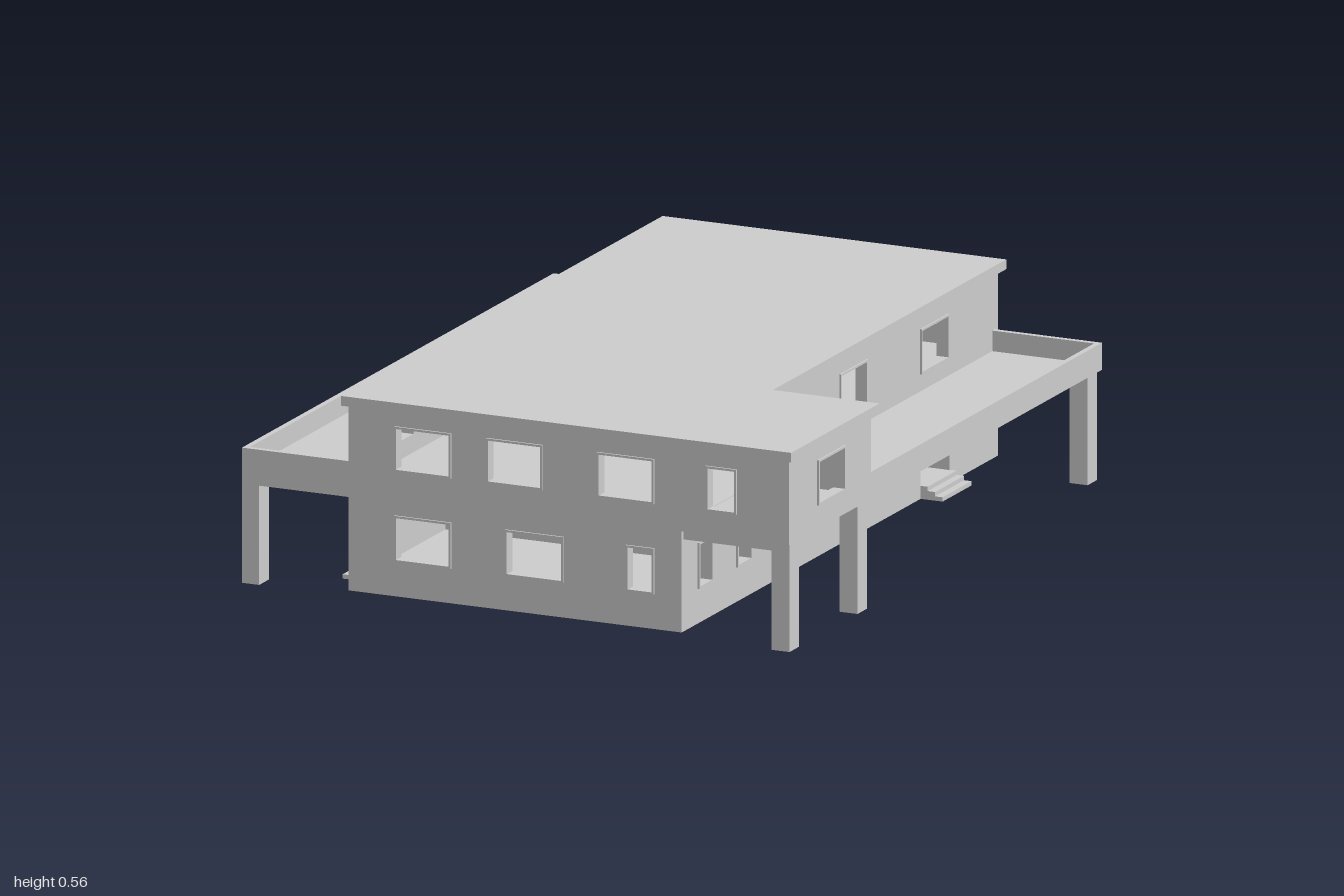
import * as THREE from 'three';

const T = 0.025; // wall thickness
const FRONT = 0.98, BACK = -0.985, LEFT = 0.485, RIGHT = -0.5;

export function createModel() {
  const root = new THREE.Group();
  root.name = 'house';
  const grey = new THREE.MeshStandardMaterial({ color: 0xcccccc });
  grey.name = 'plain grey';

  const add = (geometry, name) => {
    const mesh = new THREE.Mesh(geometry, grey);
    mesh.name = name;
    root.add(mesh);
    return mesh;
  };

  // Box given by its limits on each axis
  const box = (name, x0, x1, y0, y1, z0, z1) => {
    const mesh = add(new THREE.BoxGeometry(x1 - x0, y1 - y0, z1 - z0), name);
    mesh.position.set((x0 + x1) / 2, (y0 + y1) / 2, (z0 + z1) / 2);
    return mesh;
  };

  const rect = (path, u0, u1, y0, y1) =>
    path.moveTo(u0, y0).lineTo(u1, y0).lineTo(u1, y1).lineTo(u0, y1).closePath();

  // Upright panel with holes, along x or along z, filling at..at+depth
  const panel = (name, axis, at, depth, outline, holes) => {
    const shape = new THREE.Shape();
    rect(shape, ...outline);
    for (const h of holes) {
      const hole = new THREE.Path();
      rect(hole, ...h);
      shape.holes.push(hole);
    }
    const mesh = add(new THREE.ExtrudeGeometry(shape, { depth, bevelEnabled: false }), name);
    if (axis === 'x') mesh.position.z = at;
    else {
      mesh.rotation.y = -Math.PI / 2;
      mesh.position.x = at + depth;
    }
  };

  // Wall with framed windows and plain openings
  const wall = (name, axis, at, outline, windows, openings = []) => {
    const f = 0.006;
    const outer = windows.map(([a, b, c, d]) => [a - f, b + f, c - f, d + f]);
    panel(name, axis, at, T, outline, [...outer, ...openings]);
    windows.forEach((w, k) =>
      panel('windowFrame', axis, at - 0.005, T + 0.01, outer[k], [w]));
  };
  const up = (a, b) => [a, b, 0.372, 0.485];
  const low = (a, b) => [a, b, 0.122, 0.238];

  // Main walls
  wall('frontWall', 'x', FRONT - T, [RIGHT, LEFT, 0.02, 0.535], [
    up(-0.358, -0.202), up(-0.085, 0.068), up(0.242, 0.398),
    low(-0.358, -0.202), low(-0.03, 0.13), low(0.327, 0.398)]);
  wall('backWall', 'x', BACK, [RIGHT, LEFT, 0.02, 0.535], [
    up(0.24, 0.4), up(-0.08, 0.08), up(-0.4, -0.32), low(-0.32, -0.24)]);
  wall('leftWall', 'z', LEFT - T, [BACK + T, FRONT - T, 0.02, 0.535], [
    up(0.322, 0.398), up(-0.163, -0.007), up(-0.668, -0.508),
    low(0.8, 0.875), low(0.557, 0.635), low(0.322, 0.395), low(-0.163, -0.007)],
    [[0.5, 0.94, 0.32, 0.53], [-0.685, -0.505, 0.055, 0.3]]);
  wall('rightWall', 'z', RIGHT, [BACK + T, FRONT - T, 0.02, 0.535], [
    up(-0.89, -0.73), up(-0.56, -0.4), up(-0.07, 0.08), up(0.64, 0.8),
    low(-0.89, -0.73), low(-0.56, -0.4), low(-0.04, 0.12),
    [0.24, 0.32, 0.32, 0.485]],
    [[0.72, 0.88, 0.055, 0.245]]);

  // Upper room reaching out over the open bay
  wall('bayFrontWall', 'x', FRONT - T, [LEFT, 0.802, 0.3, 0.535], [up(0.563, 0.642)]);
  wall('bayBackWall', 'x', 0.47, [LEFT, 0.802, 0.3, 0.535], [up(0.563, 0.642)]);
  wall('baySideWall', 'z', 0.802 - T, [0.47 + T, FRONT - T, 0.3, 0.535], [up(0.642, 0.798)]);
  box('bayFloor', LEFT, 0.802 - T, 0.3, 0.318, 0.47 + T, FRONT - T);

  // Floors inside; the ground floor leaves a gap behind the entrance
  const x0 = RIGHT + T, x1 = LEFT - T, z0 = BACK + T, z1 = FRONT - T;
  box('groundFloor', x0, x1, 0.02, 0.055, -0.685, z1);
  box('groundFloorBack', x0, 0.17, 0.02, 0.055, z0, -0.685);
  box('upperFloor', x0, x1, 0.3, 0.318, z0, z1);

  // Partitions inside, the front ones with a doorway
  panel('lowerCrossWall', 'x', 0.41, 0.02, [x0, x1, 0.055, 0.3], [[-0.03, 0.01, 0.06, 0.25]]);
  panel('upperCrossWall', 'x', 0.41, 0.02, [x0, x1, 0.318, 0.535], [[-0.08, 0.01, 0.325, 0.47]]);
  box('upperMiddleWall', x0, x1, 0.318, 0.535, -0.01, 0.01);
  box('upperLongWall', 0.12, 0.14, 0.318, 0.535, z0, -0.01);
  box('lowerLongWall', 0.17, 0.19, 0.055, 0.3, -0.685, -0.035);

  // Recessed entrance
  box('entranceBackSideWall', 0.17, x1, 0.02, 0.3, -0.705, -0.685);
  box('entranceFrontSideWall', 0.19, x1, 0.055, 0.3, -0.505, -0.485);

  // Inner stairs
  for (let k = 0; k < 20; k++) {
    const y = 0.055 + k * 0.012;
    const z = -0.14 - k * 0.02;
    box('innerStep', -0.03, 0.16, y, y + 0.012, z - 0.02, z);
  }

  // Outside steps at both doors
  for (let k = 0; k < 3; k++) {
    const y = 0.02 + k * 0.012;
    const d = 0.065 - k * 0.022;
    box('leftEntranceStep', LEFT, LEFT + d, y, y + 0.012, -0.685, -0.505);
    box('rightEntranceStep', RIGHT - d, RIGHT, y, y + 0.012, 0.72, 0.88);
  }

  // Flat L-shaped roof
  const roof = new THREE.Shape([[-0.513, -1], [0.818, -1], [0.818, -0.45], [0.503, -0.45],
    [0.503, 1], [-0.513, 1]].map(([x, y]) => new THREE.Vector2(x, y)));
  const slab = add(new THREE.ExtrudeGeometry(roof, { depth: 0.027, bevelEnabled: false }), 'roof');
  slab.rotation.x = -Math.PI / 2;
  slab.position.y = 0.535;

  // Terraces with low parapets
  const p = 0.016;
  box('leftTerraceFloor', LEFT, 0.802 - p, 0.3, 0.318, -0.967 + p, 0.47);
  box('leftTerraceParapet', 0.802 - p, 0.802, 0.3, 0.375, -0.967, 0.47);
  box('leftTerraceEnd', LEFT, 0.802 - p, 0.3, 0.375, -0.967, -0.967 + p);
  box('rightTerraceFloor', -0.82 + p, RIGHT, 0.3, 0.318, -0.967 + p, 0.97 - p);
  box('rightTerraceParapet', -0.82, -0.82 + p, 0.3, 0.375, -0.967, 0.97);
  for (const z of [-0.967, 0.97 - p])
    box('rightTerraceEnd', -0.82 + p, RIGHT, 0.3, 0.375, z, z + p);

  // Square post with open ends: only the four sides of a box are kept
  const post = (name, x0, x1, z) => {
    const { geometry } = box(name, x0, x1, 0, 0.3, z, z + 0.06);
    const index = [...geometry.index.array];
    geometry.setIndex([...index.slice(0, 12), ...index.slice(24)]);
    geometry.clearGroups();
  };

  // Posts, each tied to the wall by a shallow beam
  for (const z of [-0.945, 0.485, 0.908]) {
    post('leftPost', 0.745, 0.798, z);
    box('leftBeam', LEFT, 0.745, 0.275, 0.3, z, z + 0.06);
  }
  for (const z of [-0.945, 0.02, 0.908]) {
    post('rightPost', -0.82, -0.77, z);
    box('rightBeam', -0.77, RIGHT, 0.275, 0.3, z, z + 0.06);
  }
  return root;
}
